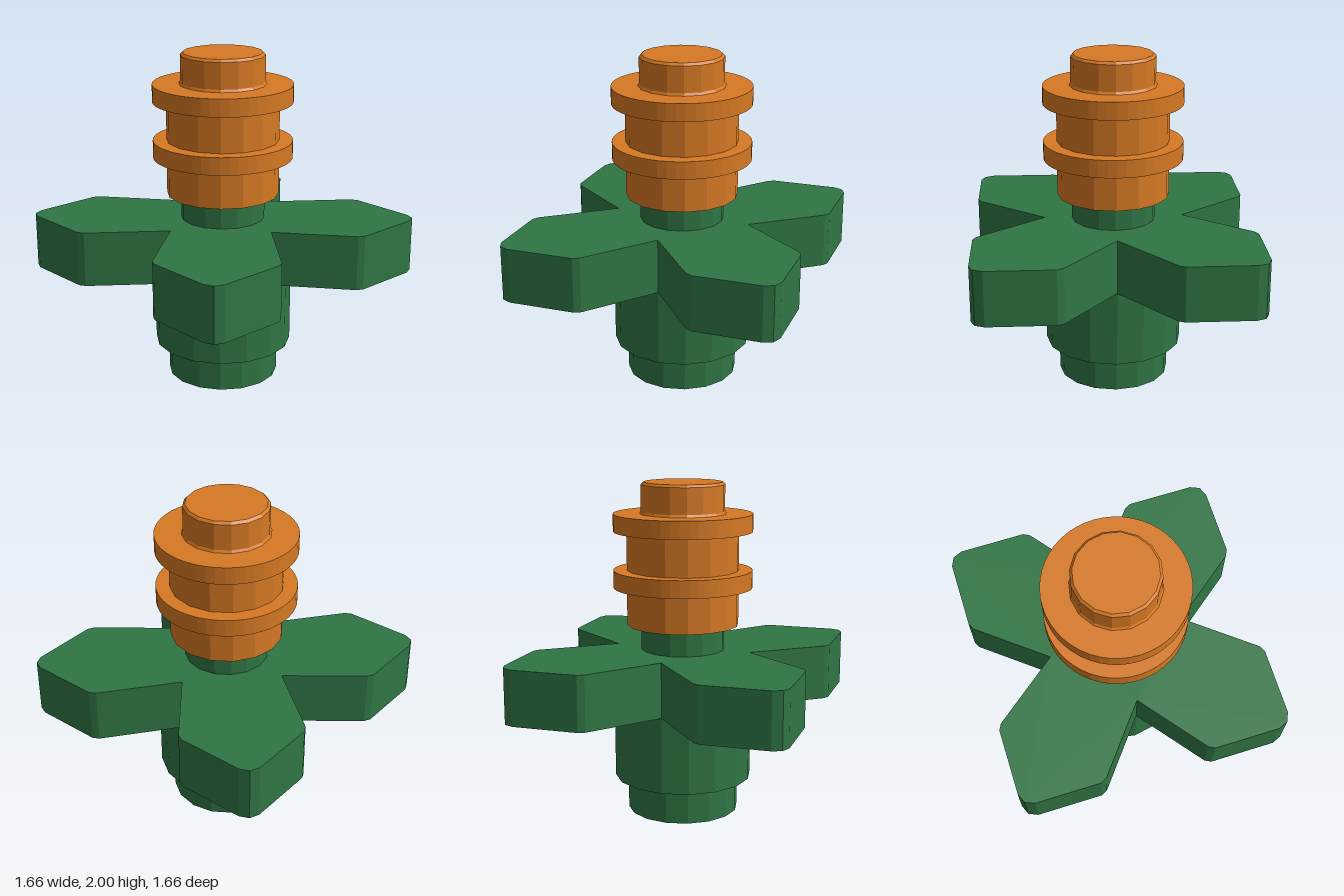
import * as THREE from 'three';

const green = new THREE.MeshStandardMaterial({ color: 0x2f7544 });
green.name = 'leafGreen';
const orange = new THREE.MeshStandardMaterial({ color: 0xd67923 });
orange.name = 'flowerOrange';

// Bake faceted normals into a mesh
function faceted(name, geometry, material) {
  const flat = geometry.index ? geometry.toNonIndexed() : geometry;
  flat.computeVertexNormals();
  const mesh = new THREE.Mesh(flat, material);
  mesh.name = name;
  return mesh;
}

// Turned part from [radius, height] pairs, listed so the surface faces outward
function turned(name, profile, sides, material) {
  const points = profile.map(([r, y]) => new THREE.Vector2(r, y));
  return faceted(name, new THREE.LatheGeometry(points, sides), material);
}

// Horizontal slab between two heights
function slab(name, shape, bottom, top) {
  const geometry = new THREE.ExtrudeGeometry(shape, { depth: top - bottom, bevelEnabled: false });
  geometry.rotateX(-Math.PI / 2).translate(0, bottom, 0);
  return faceted(name, geometry, green);
}

// One corner of the four-leaf outline, repeated by quarter turns
const leafCorner = [
  [0.415, 0], [0.81, 0.312], [0.83, 0.35], [0.83, 0.75], [0.806, 0.806],
  [0.75, 0.83], [0.35, 0.83], [0.312, 0.81],
];
// Pocket under a leaf: distance along the leaf, distance across
const pocket = [[0.38, -0.14], [0.77, -0.19], [0.94, 0], [0.77, 0.19], [0.38, 0.14]];

const turn = (points, angle) => points.map(([x, y]) =>
  new THREE.Vector2(x, y).rotateAround(new THREE.Vector2(), angle));

const quarters = [0, 1, 2, 3].map((i) => i * Math.PI / 2);
const leafShape = () => new THREE.Shape(quarters.flatMap((a) => turn(leafCorner, a)));

export function createModel() {
  const model = new THREE.Group();
  model.name = 'flowerOnLeafBase';

  // Hollow stem with a stepped foot
  model.add(turned('stem', [
    [0, 0.85], [0.245, 0.85], [0.245, 0], [0.335, 0], [0.335, 0.21],
    [0.415, 0.21], [0.415, 0.92],
  ], 16, green));

  // Leaves: solid top over walls with a pocket beneath each leaf
  const leaves = new THREE.Group();
  leaves.name = 'leaves';
  leaves.add(slab('leafTop', leafShape(), 0.9, 1));
  const walls = leafShape();
  walls.holes.push(new THREE.Path().absarc(0, 0, 0.34, 0, Math.PI * 2, true));
  for (const a of quarters) walls.holes.push(new THREE.Path(turn(pocket, a + Math.PI / 4)));
  leaves.add(slab('leafWalls', walls, 0.67, 0.9));
  model.add(leaves);

  // Neck between leaves and flower
  model.add(turned('neck', [[0.25, 0.99], [0.25, 1.16]], 16, green));

  // Flower core and its top stud
  const flower = new THREE.Group();
  flower.name = 'flower';
  flower.add(turned('flowerCore', [
    [0.24, 1.15], [0.335, 1.15], [0.335, 1.75],
  ], 16, orange));
  flower.add(turned('stud', [
    [0.262, 1.81], [0.25, 1.83], [0.25, 1.985], [0.235, 2], [0, 2],
  ], 16, orange));

  // Two round collars
  for (const [name, bottom, top] of [['lowerCollar', 1.375, 1.48], ['upperCollar', 1.71, 1.815]]) {
    flower.add(turned(name, [[0, bottom], [0.415, bottom], [0.415, top], [0, top]], 48, orange));
  }
  model.add(flower);

  return model;
}
